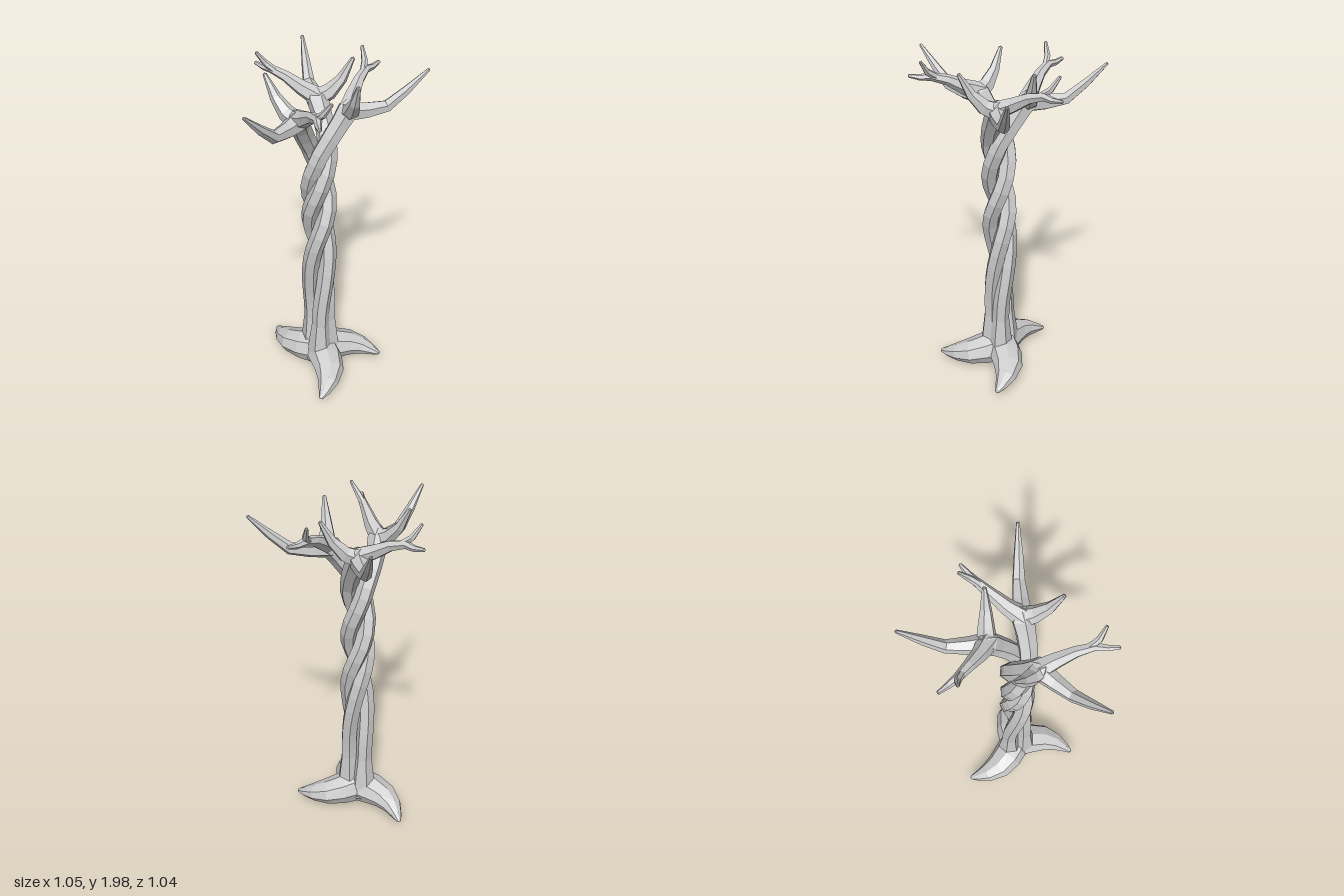
import * as THREE from 'three';

const material = new THREE.MeshStandardMaterial({ color: 0xcccccc, flatShading: true, side: THREE.DoubleSide });

// Closed tube through stations [x, y, z, halfWidth, halfHeight = halfWidth].
// The first side direction is "side"; it is carried along the path.
function sweep(name, stations, sides, side = new THREE.Vector3(0.3, 0.1, 1)) {
  const at = stations.map((s) => new THREE.Vector3(s[0], s[1], s[2]));
  const last = at.length - 1;
  const positions = [];
  const index = [];
  const normal = side.clone();
  let rings = 0;
  const ring = (p, n, b, w, h) => {
    for (let j = 0; j < sides; j++) {
      const a = (j / sides) * Math.PI * 2;
      const v = p.clone().addScaledVector(n, w * Math.cos(a)).addScaledVector(b, h * Math.sin(a));
      positions.push(v.x, v.y, v.z);
    }
    rings++;
  };
  at.forEach((p, i) => {
    const t = at[Math.min(i + 1, last)].clone().sub(at[Math.max(i - 1, 0)]).normalize();
    normal.addScaledVector(t, -normal.dot(t)).normalize();
    const b = t.clone().cross(normal);
    const [, , , w, h = w] = stations[i];
    if (i === 0) ring(p, normal, b, 0, 0);
    ring(p, normal, b, w, h);
    if (i === last) ring(p.clone().addScaledVector(t, w * 0.6), normal, b, 0, 0);
  });
  for (let i = 0; i < rings - 1; i++) {
    for (let j = 0; j < sides; j++) {
      const k = (j + 1) % sides;
      const a = i * sides + j, b = i * sides + k;
      index.push(a, b, a + sides, b, b + sides, a + sides);
    }
  }
  const geometry = new THREE.BufferGeometry();
  geometry.setAttribute('position', new THREE.Float32BufferAttribute(positions, 3));
  geometry.setIndex(index);
  geometry.computeVertexNormals();
  const mesh = new THREE.Mesh(geometry, material);
  mesh.name = name;
  return mesh;
}

// Twisting stem: starts straight at the foot, winds faster higher up, then leans out
function stemStations() {
  const twist = new THREE.SplineCurve([
    [0.08, 104], [0.3, 102], [0.55, 85], [0.92, 0], [1.24, -135], [1.53, -265],
  ].map(([y, a]) => new THREE.Vector2(y, a)));
  const stations = twist.getPoints(20).map(({ x: y, y: degrees }) => {
    const a = THREE.MathUtils.degToRad(degrees);
    const flare = Math.max(0, 0.36 - y);
    return [0.052 * Math.cos(a), y, 0.052 * Math.sin(a), 0.051 + flare * 0.12];
  });
  stations.push(
    [0.05, 1.62, 0.055, 0.053],
    [0.105, 1.7, 0.05, 0.055],
    [0.15, 1.765, 0.042, 0.062],
    [0.17, 1.805, 0.038, 0.035],
  );
  return stations;
}

// Branches, measured from the trunk axis
const branches = {
  longBranch: [
    [0.14, 1.755, 0.04, 0.058], [0.25, 1.75, 0.05, 0.045], [0.36, 1.762, 0.06, 0.034],
    [0.46, 1.845, 0.075, 0.025], [0.57, 1.95, 0.09, 0.009],
  ],
  shortBranch: [
    [0.155, 1.75, 0.02, 0.055], [0.145, 1.79, 0.11, 0.045],
    [0.135, 1.86, 0.175, 0.03], [0.13, 1.97, 0.235, 0.011],
  ],
  forkedBranch: [
    [0.145, 1.765, 0.05, 0.055], [0.2, 1.81, -0.03, 0.042], [0.26, 1.86, -0.1, 0.03],
    [0.32, 1.885, -0.16, 0.023], [0.37, 1.88, -0.19, 0.017], [0.42, 1.89, -0.222, 0.01],
  ],
  forkTwig: [
    [0.295, 1.875, -0.135, 0.02], [0.323, 1.92, -0.19, 0.018], [0.325, 1.985, -0.238, 0.009],
  ],
};

// Curved, tapering root: centre, half width and half height
const rootStations = [
  [0, 0.12, -0.04, 0.07, 0.1],
  [0.005, 0.115, 0.04, 0.1, 0.105],
  [0.01, 0.11, 0.11, 0.1, 0.095],
  [0, 0.098, 0.2, 0.088, 0.075],
  [-0.035, 0.08, 0.275, 0.062, 0.053],
  [-0.078, 0.06, 0.33, 0.034, 0.03],
  [-0.108, 0.05, 0.362, 0.014, 0.012],
];

function createStrand(name, degrees) {
  const strand = new THREE.Group();
  strand.name = name;
  strand.add(sweep('stem', stemStations(), 6));
  strand.add(sweep('root', rootStations, 8, new THREE.Vector3(1, 0, 0)));
  for (const [part, stations] of Object.entries(branches)) {
    strand.add(sweep(part, stations, 6, new THREE.Vector3(0.2, 1, 0.1)));
  }
  strand.rotation.y = THREE.MathUtils.degToRad(degrees);
  strand.position.set(-0.05, 0, 0.06);
  return strand;
}

export function createModel() {
  const tree = new THREE.Group();
  tree.name = 'twistedTree';
  // Three equal strands turned about the trunk axis
  tree.add(createStrand('frontStrand', 0));
  tree.add(createStrand('rightRootStrand', 90));
  tree.add(createStrand('backStrand', -135));
  return tree;
}
